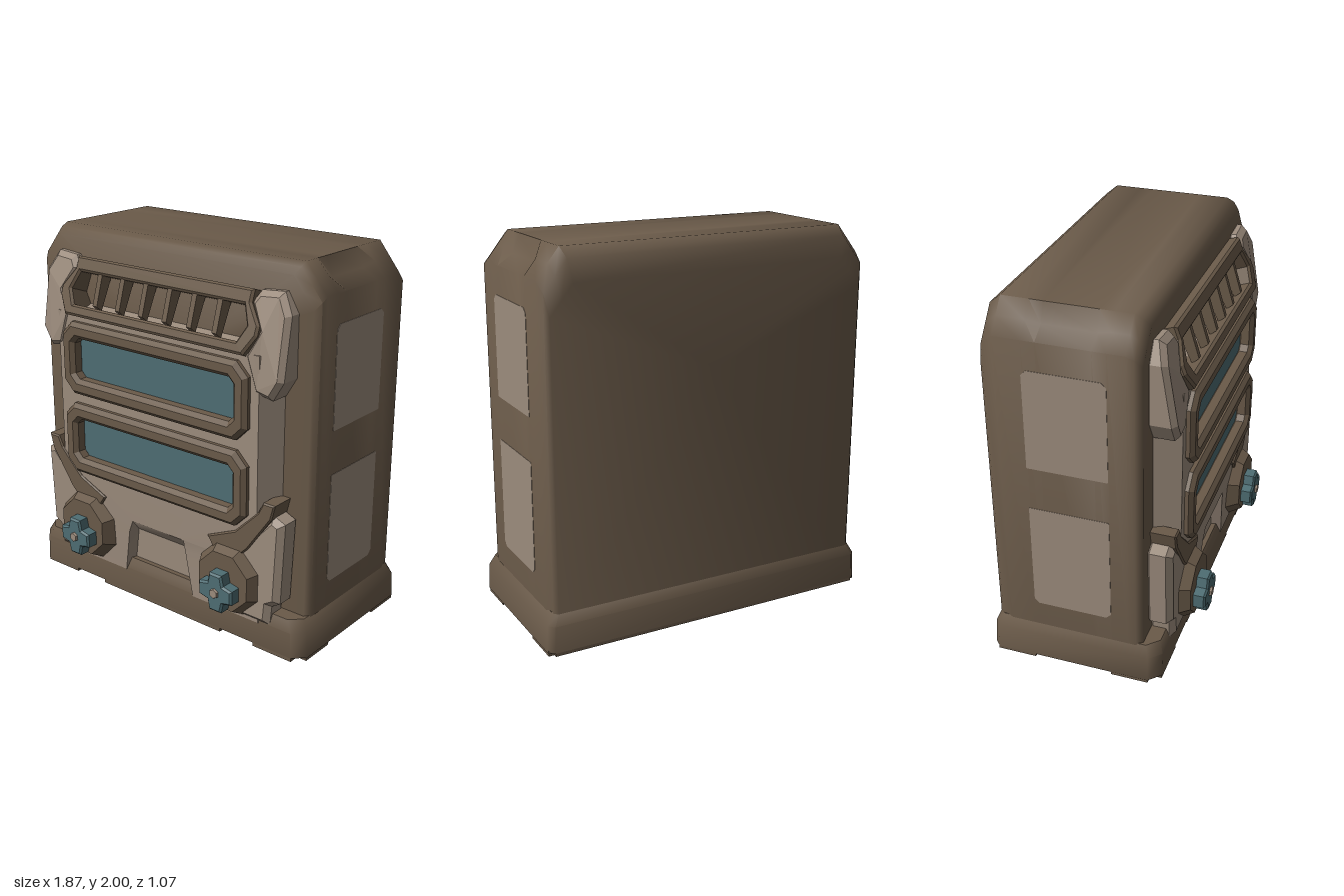
import * as THREE from 'three';
import { toCreasedNormals } from 'three/addons/utils/BufferGeometryUtils.js';

const mat = (name, color) => new THREE.MeshStandardMaterial({ name, color });

// Skin a stack of point loops; closed stacks are capped at both ends.
function loft(loops, closed = true, crease = 0.65) {
  const n = loops[0].length, pos = loops.flat(2), idx = [];
  const last = loops.length - 1;
  for (let i = 0; i < last; i++) {
    for (let j = 0; j < (closed ? n : n - 1); j++) {
      const k = (j + 1) % n, a = i * n + j, b = i * n + k;
      idx.push(a, b, b + n, a, b + n, a + n);
    }
  }
  if (closed) {
    [0, last].forEach((row, end) => {
      const c = pos.length / 3;
      for (let d = 0; d < 3; d++) pos.push(loops[row].reduce((t, p) => t + p[d], 0) / n);
      for (let j = 0; j < n; j++) {
        const a = row * n + j, b = row * n + (j + 1) % n;
        idx.push(c, end ? a : b, end ? b : a);
      }
    });
  }
  const g = new THREE.BufferGeometry();
  g.setAttribute('position', new THREE.Float32BufferAttribute(pos, 3));
  g.setIndex(idx);
  return toCreasedNormals(g, crease);
}

const poly = (pts) => new THREE.Shape(pts.map(([x, y]) => new THREE.Vector2(x, y)));

// Rectangle with cut corners, half sizes w and h; top and bottom cuts differ if wanted.
const cutRect = (w, h, t, b = t) => poly([[w, -h + b], [w, h - t], [w - t, h], [-w + t, h],
  [-w, h - t], [-w, -h + b], [-w + b, -h], [w - b, -h]]);

// Outline mirrored across x = 0, given the points of its right half from bottom to top.
const symmetric = (half) => poly([...half, ...half.map(([x, y]) => [-x, y]).reverse()]);

// Extrude an outline from z0 to z1 with a bevel kept inside the outline.
function slab(shape, z0, z1, bevel = 0) {
  const g = new THREE.ExtrudeGeometry(shape, {
    depth: z1 - z0 - 2 * bevel, bevelEnabled: bevel > 0, bevelThickness: bevel,
    bevelSize: bevel, bevelOffset: -bevel, bevelSegments: 1,
  });
  return g.translate(0, 0, z0 + bevel);
}

export function createModel() {
  const model = new THREE.Group();
  model.name = 'consoleUnit';
  const brown = mat('brown casing', 0x6a5a49);
  const light = mat('pale panel', 0x9c8c7d);
  const teal = mat('teal glass', 0x4e6d73);
  const add = (name, geometry, material, x = 0, y = 0, z = 0) => {
    const m = new THREE.Mesh(geometry, material);
    m.name = name;
    m.position.set(x, y, z);
    model.add(m);
    return m;
  };

  // Casing: sections along z, with the upper side corners slightly dented in the middle
  const section = (z, hx, top, dent = 0) => {
    const half = [[hx, 0.1], [hx, top - 0.15], [hx - 0.06 - dent, top - 0.075 - dent], [hx - 0.12, top]];
    return [...half, ...half.map(([x, y]) => [-x, y]).reverse()].map(([x, y]) => [x, y, z]);
  };
  add('casing', loft([
    section(-0.51, 0.87, 1.84), section(-0.49, 0.89, 1.95), section(-0.43, 0.902, 2),
    section(-0.29, 0.902, 2), section(-0.22, 0.902, 2, 0.022), section(0.05, 0.902, 2, 0.022),
    section(0.12, 0.902, 2), section(0.21, 0.902, 2), section(0.25, 0.902, 1.98),
    section(0.282, 0.88, 1.945),
  ], true, 1.0), brown);

  // Flared base with a flat underside, standing on shallow feet
  const ring = (y, hx, z0, z1, c) => {
    const r = [[hx, z1 - c], [hx, z0 + c / 2], [hx - c / 2, z0]];
    const l = [[-hx + c / 2, z0], [-hx, z0 + c / 2], [-hx, z1 - c]];
    return [...r, ...l, [-hx + c, z1], [hx - c, z1]].map(([x, z]) => [x, y, z]);
  };
  add('base', loft([
    ring(0.02, 0.935, -0.535, 0.38, 0.06), ring(0.16, 0.928, -0.53, 0.38, 0.06),
    ring(0.22, 0.897, -0.508, 0.36, 0.06),
  ], true, 0.9), brown);
  add('backFoot', new THREE.BoxGeometry(1.8, 0.03, 0.09), brown, 0, 0.015, -0.485);
  add('frontFoot', new THREE.BoxGeometry(0.84, 0.03, 0.085), brown, 0, 0.015, 0.336);
  for (const s of [1, -1]) {
    add('frontCornerFoot', new THREE.BoxGeometry(0.24, 0.03, 0.085), brown, s * 0.755, 0.015, 0.336);
    add('frontSideFoot', new THREE.BoxGeometry(0.1, 0.03, 0.2), brown, s * 0.88, 0.015, 0.22);
    add('backSideFoot', new THREE.BoxGeometry(0.1, 0.03, 0.21), brown, s * 0.88, 0.015, -0.405);
  }

  // Front panel: rows going up, sunk at the lower scoop and behind each screen
  const row = (y, z, dip = 0, w = 0.56) => [[-0.74, 0.27], [-0.67, z], [-w - 0.02, z], [-w, z - dip],
    [w, z - dip], [w + 0.02, z], [0.67, z], [0.74, 0.27]].map(([x, d]) => [x, y, d]);
  const sunk = (y) => [row(y - 0.16, 0.408), row(y - 0.14, 0.408, 0.04),
    row(y + 0.14, 0.408, 0.04), row(y + 0.16, 0.408)];
  add('frontPanel', loft([
    row(0.15, 0.385, 0.055, 0.22), row(0.4, 0.395, 0.055, 0.18), row(0.47, 0.4, 0, 0.17),
    ...sunk(0.875), ...sunk(1.33), row(1.57, 0.408), row(1.6, 0.27),
  ], false), light);

  // Two framed screens
  for (const y of [1.33, 0.875]) {
    const frame = cutRect(0.62, 0.2, 0.07);
    frame.holes.push(cutRect(0.535, 0.113, 0.03));
    add('screenFrame', slab(frame, 0.36, 0.45, 0.022), brown, 0, y);
    add('screen', slab(cutRect(0.56, 0.14, 0.02), 0.37, 0.377), teal, 0, y);
  }

  // Tilted vent hood with upright fins
  const hood = symmetric([[0.59, -0.15], [0.65, -0.05], [0.65, 0], [0.58, 0.1], [0.58, 0.165]]);
  hood.holes.push(symmetric([[0.54, -0.09], [0.58, -0.01], [0.54, 0.085]]));
  add('ventHood', slab(hood, -0.17, 0, 0.012), brown, 0, 1.71, 0.395).rotation.x = -0.35;
  for (let i = 0; i < 6; i++) {
    const fin = poly([[-0.27, 1.81], [-0.35, 1.81], [-0.405, 1.63], [-0.37, 1.6]]);
    add('ventFin', slab(fin, -0.015, 0.015), brown, -0.4 + i * 0.159).rotation.y = Math.PI / 2;
  }

  for (const s of [1, -1]) {
    const mirror = (pts) => poly(pts.map(([x, y]) => [x * s, y]));

    // Upper corner pad, its face leaning back towards the top
    const upper = slab(mirror([[0.57, 1.8], [0.61, 1.86], [0.74, 1.87], [0.8, 1.77], [0.8, 1.46],
      [0.74, 1.36], [0.64, 1.38], [0.58, 1.56], [0.64, 1.68]]), 0.26, 0.415, 0.025);
    const p = upper.attributes.position;
    for (let i = 0; i < p.count; i++) {
      if (p.getZ(i) > 0.3) p.setZ(i, p.getZ(i) - Math.max(0, p.getY(i) - 1.6) * 0.3);
    }
    upper.computeVertexNormals();
    add('upperCornerPad', upper, light);

    // Lower corner pad and the diagonal band above it
    add('lowerCornerPad', slab(mirror([[0.55, 0.16], [0.74, 0.16], [0.75, 0.27], [0.8, 0.3],
      [0.82, 0.74], [0.75, 0.77], [0.54, 0.54]]), 0.26, 0.405, 0.03), light);
    add('diagonalBand', slab(mirror([[0.78, 0.84], [0.76, 0.76], [0.62, 0.56], [0.56, 0.5], [0.4, 0.5],
      [0.36, 0.56], [0.54, 0.64], [0.68, 0.78], [0.71, 0.84]]), 0.26, 0.415, 0.008), brown);

    // Knob housing, cross-shaped knob and hub
    const housing = new THREE.CylinderGeometry(0.165, 0.235, 0.12, 8).rotateY(Math.PI / 8)
      .rotateX(Math.PI / 2);
    add('knobHousing', toCreasedNormals(housing, 0.5), brown, s * 0.5, 0.36, 0.4);
    const cross = [];
    for (let k = 0; k < 4; k++) {
      const c = Math.cos(k * Math.PI / 2), d = Math.sin(k * Math.PI / 2);
      for (const [x, y] of [[0.05, -0.05], [0.105, -0.038], [0.105, 0.038]]) {
        cross.push([x * c - y * d, x * d + y * c]);
      }
    }
    add('knob', slab(poly(cross), 0.44, 0.525, 0.01), teal, s * 0.5, 0.32);
    const hub = new THREE.CylinderGeometry(0.024, 0.034, 0.03, 6).rotateX(Math.PI / 2);
    add('knobHub', toCreasedNormals(hub, 0.5), light, s * 0.5, 0.32, 0.522);

    // Side panels
    const side = (h, y, t, b) => {
      add('sidePanel', slab(cutRect(0.207, h, t, b), 0, 0.006), light, s * 0.898, y, -0.09)
        .rotation.y = s * Math.PI / 2;
    };
    side(0.265, 1.435, 0.025, 0.004);
    side(0.295, 0.645, 0.004, 0.025);
  }
  return model;
}
